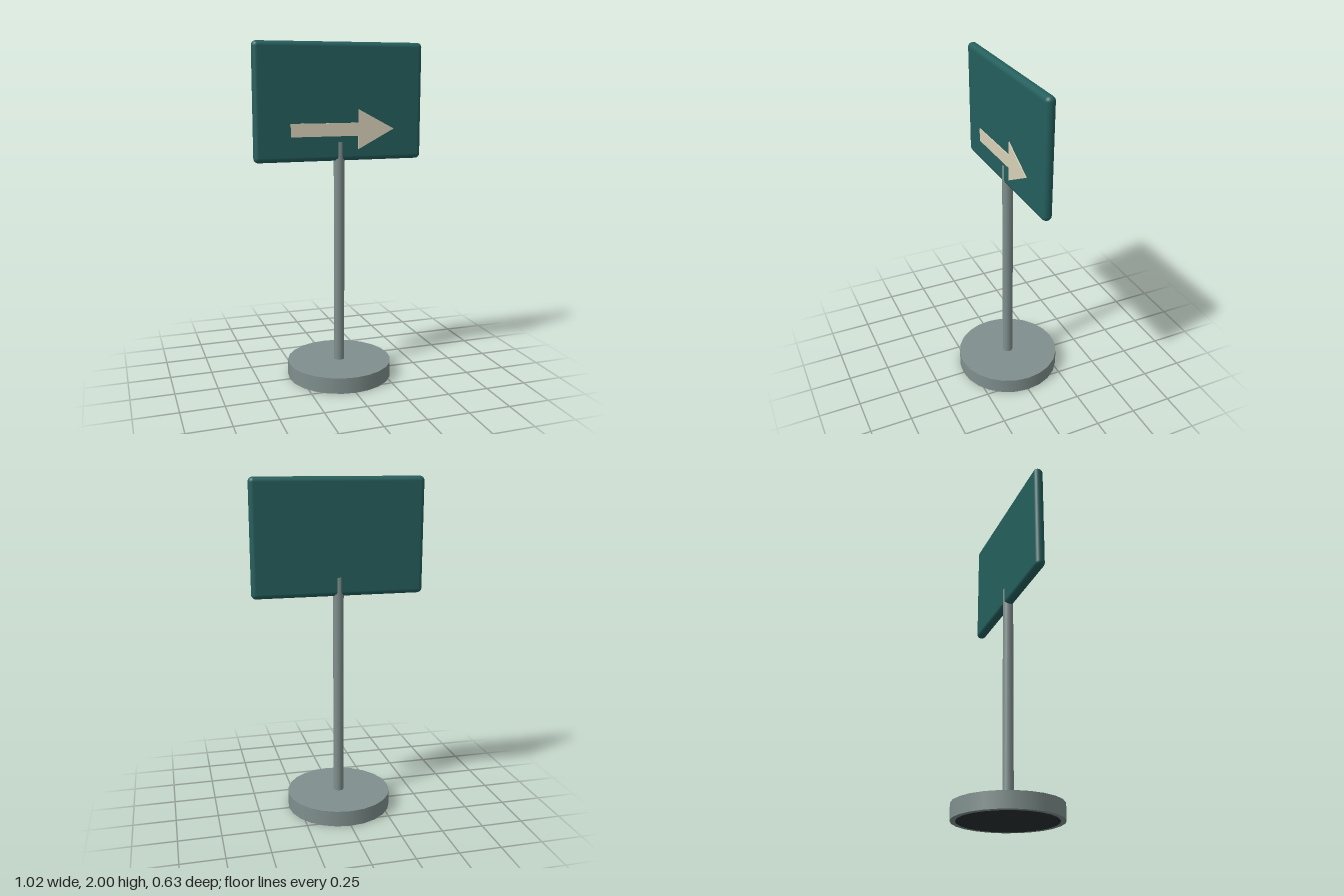
import * as THREE from 'three';
import { RoundedBoxGeometry } from 'three/addons/geometries/RoundedBoxGeometry.js';

const material = (name, color) => {
  const m = new THREE.MeshStandardMaterial({ color });
  m.name = name;
  return m;
};

export function createModel() {
  const group = new THREE.Group();
  group.name = 'directionSign';
  const metal = material('grey metal', 0x7f8f8d);
  const teal = material('dark teal', 0x245f5d);
  const cream = material('cream', 0xd9d2b8);
  const rubber = material('black rubber', 0x2b3130);

  const add = (name, geometry, mat, x, y, z) => {
    const mesh = new THREE.Mesh(geometry, mat);
    mesh.name = name;
    mesh.position.set(x, y, z);
    group.add(mesh);
  };

  // Round foot with a thin pad underneath
  add('base', new THREE.CylinderGeometry(0.315, 0.315, 0.094, 24), metal, 0, 0.048, 0);
  add('basePad', new THREE.CylinderGeometry(0.285, 0.285, 0.006, 24), rubber, 0, 0.003, 0);

  // Pole, standing slightly proud of the panel faces
  add('pole', new THREE.CylinderGeometry(0.0315, 0.0315, 1.34, 16), metal, 0, 0.76, 0);

  // Sign panel with rounded edges
  add('panel', new RoundedBoxGeometry(1.02, 0.68, 0.058, 4, 0.028), teal, 0, 1.66, 0);

  // Arrow plate floating just in front of the panel
  const arrow = new THREE.Shape([
    [-0.3, -0.038], [0.105, -0.038], [0.105, -0.116], [0.325, 0],
    [0.105, 0.116], [0.105, 0.038], [-0.3, 0.038],
  ].map(([x, y]) => new THREE.Vector2(x, y)));
  add('arrow', new THREE.ExtrudeGeometry(arrow, { depth: 0.006, bevelEnabled: false }), cream, 0, 1.503, 0.038);

  return group;
}
